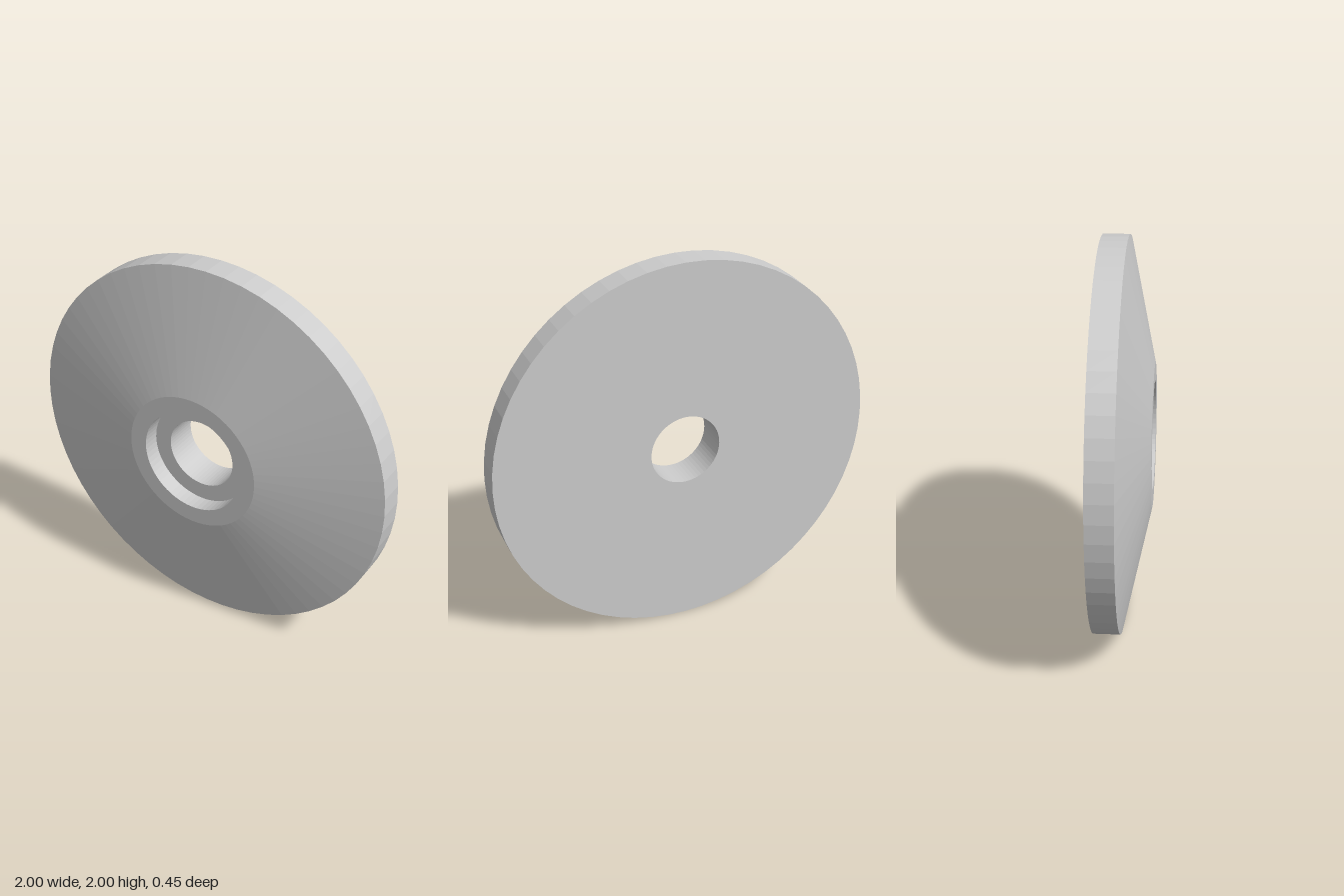
import * as THREE from 'three';

export function createModel() {
  const model = new THREE.Group();
  const tilt = 0.135;

  // Closed section as [radius, height above the flat back]
  const profile = [
    [0.185, 0],     // bore, back
    [1, 0],         // rim, back
    [1, 0.134],     // rim, front
    [0.366, 0.27],  // end of conical face
    [0.275, 0.27],  // counterbore mouth
    [0.275, 0.18],  // counterbore floor
    [0.185, 0.18],  // bore, front
    [0.185, 0],
  ].map(([r, h]) => new THREE.Vector2(r, h));

  const geometry = new THREE.LatheGeometry(profile, 64);
  geometry.rotateX(Math.PI / 2); // axis to +z

  const disc = new THREE.Mesh(
    geometry,
    new THREE.MeshStandardMaterial({ color: 0xcccccc, flatShading: true })
  );
  disc.name = 'conicalDisc';
  disc.rotation.y = tilt;
  disc.position.set(-0.01, 1, -0.095);
  model.add(disc);

  return model;
}
